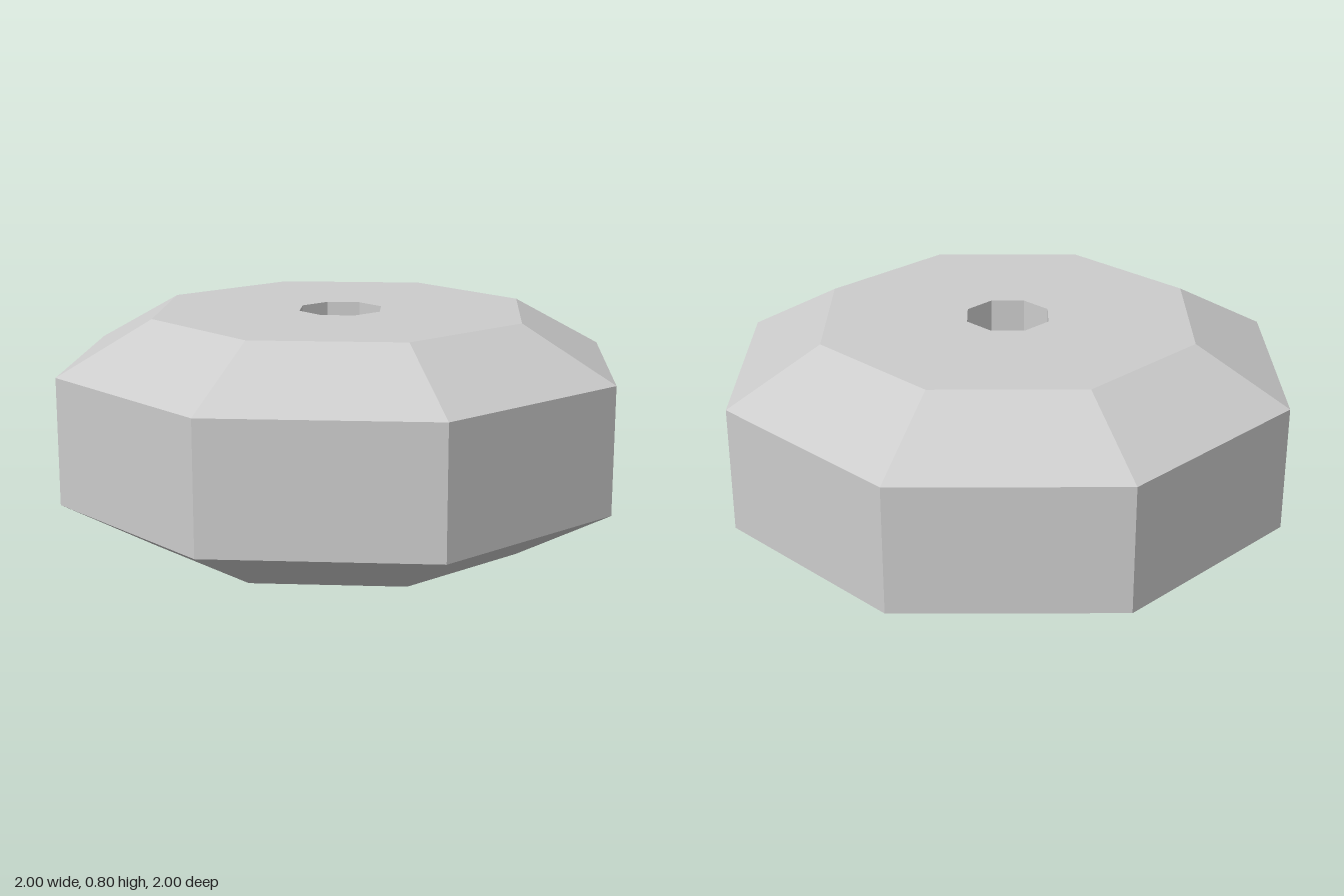
import * as THREE from 'three';

export function createModel() {
  const group = new THREE.Group();
  group.name = 'bevelledOctagonalRing';

  const grey = new THREE.MeshStandardMaterial({ color: 0xcccccc, flatShading: true });
  grey.name = 'light grey';

  // Closed profile: underside, lower bevel, outer wall, upper bevel, top, bore
  const profile = [
    [0.15, 0], [0.67, 0], [1, 0.18], [1, 0.62], [0.67, 0.8], [0.15, 0.8], [0.15, 0],
  ].map(([r, y]) => new THREE.Vector2(r, y));

  // Eight sides, with corners on the x and z axes
  const ring = new THREE.Mesh(new THREE.LatheGeometry(profile, 8), grey);
  ring.name = 'ringBody';
  group.add(ring);

  return group;
}
